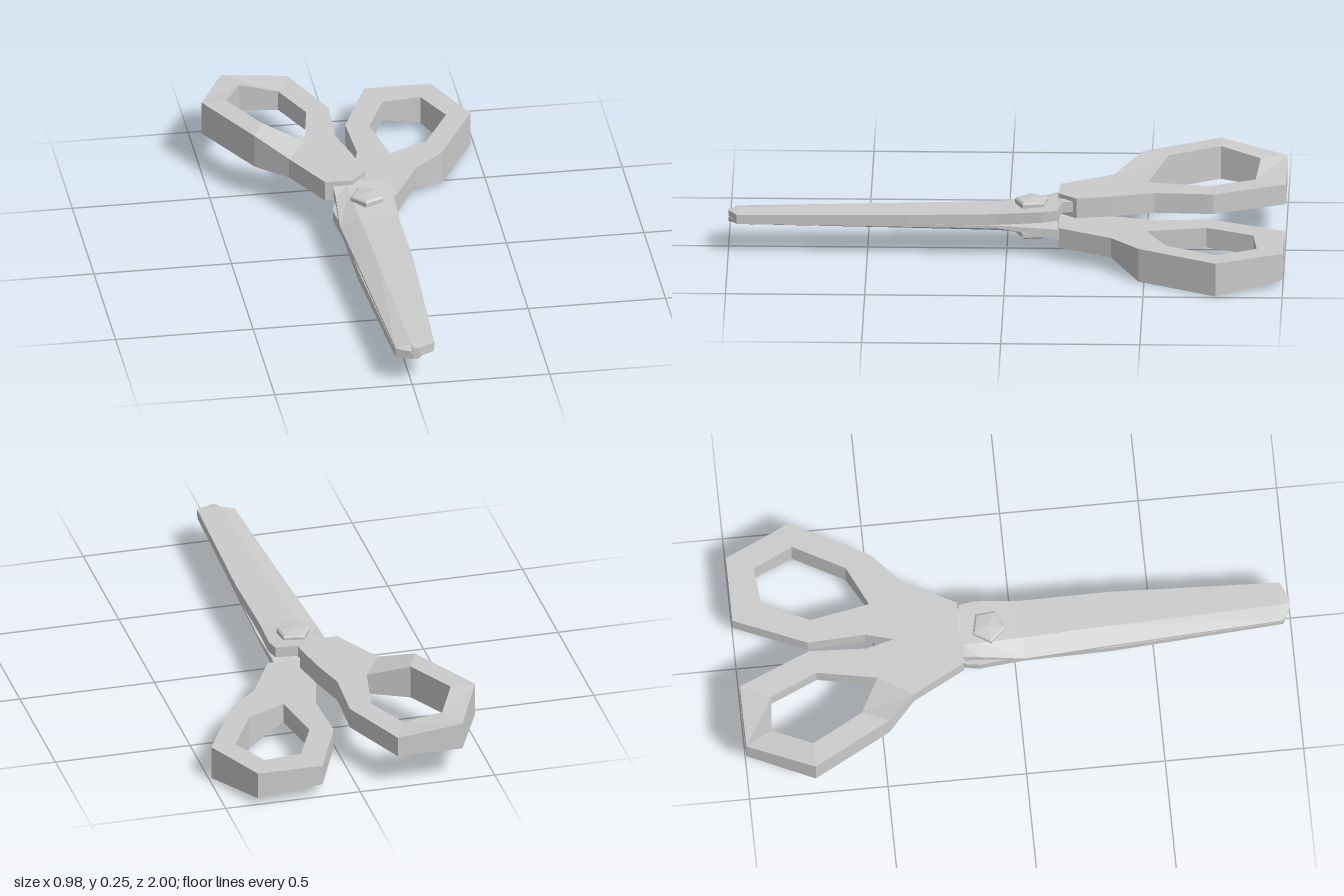
import * as THREE from 'three';

const MID = 0.125; // plane where the two halves meet
const material = new THREE.MeshStandardMaterial({ color: 0xcccccc, flatShading: true, side: THREE.DoubleSide });

// Collects flat polygons (counter-clockwise corners) into one geometry
class Faces {
  constructor() { this.data = []; }
  add(...p) {
    for (let i = 1; i < p.length - 1; i++) this.data.push(...p[0], ...p[i], ...p[i + 1]);
  }
  mesh(name) {
    const g = new THREE.BufferGeometry();
    g.setAttribute('position', new THREE.Float32BufferAttribute(this.data, 3));
    g.computeVertexNormals();
    const m = new THREE.Mesh(g, material);
    m.name = name;
    return m;
  }
}

// Finger loop with a neck; corners are [x, top y, z]
function makeHandle() {
  const outer = [
    [-0.34, 0.25, -0.48], [-0.49, 0.25, -0.76], [-0.38, 0.225, -1],
    [-0.14, 0.2, -1], [-0.03, 0.2, -0.74], [-0.04, 0.2, -0.53],
  ];
  const inner = [
    [-0.3, 0.25, -0.575], [-0.4, 0.25, -0.76], [-0.33, 0.23, -0.905],
    [-0.19, 0.2, -0.89], [-0.115, 0.2, -0.72], [-0.155, 0.2, -0.505],
  ];
  const neck = [
    [0, 0.2, -0.38], [0.025, 0.2, -0.25], [-0.03, 0.2, -0.185],
    [-0.13, 0.2, -0.19], [-0.23, 0.2, -0.38],
  ];
  const f = new Faces();
  const low = ([x, , z]) => [x, MID, z];
  // a top polygon and its copy on the flat underside
  const slab = (...p) => {
    f.add(...p);
    f.add(...p.map(low).reverse());
  };
  const wall = (a, b) => f.add(low(b), low(a), a, b);

  for (let i = 0; i < 5; i++) slab(outer[i], inner[i], inner[i + 1], outer[i + 1]);
  slab(neck[4], inner[5], inner[0], outer[0]); // ramp down to the neck
  slab(inner[5], ...[outer[5], ...neck].reverse());

  const rim = [...outer, ...neck];
  rim.forEach((p, i) => wall(p, rim[(i + 1) % rim.length]));
  inner.forEach((p, i) => wall(inner[(i + 1) % inner.length], p));
  return f.mesh('handle');
}

// Blade lofted from five-sided sections; skew swings the tip sideways
function makeBlade(skew) {
  // z, cutting edge x, ridge x, spine x, bottom y, edge y, top y
  const rows = [
    [-0.24, -0.10, -0.05, 0.015, 0.145, 0.185, 0.185],
    [-0.20, -0.10, -0.05, 0.02, 0.145, 0.185, 0.185],
    [-0.185, -0.10, -0.05, 0.10, 0.143, 0.18, 0.182],
    [-0.13, -0.10, -0.05, 0.11, 0.138, 0.165, 0.178],
    [0.03, -0.11, -0.04, 0.10, MID, 0.135, 0.166],
    [0.35, -0.09, -0.025, 0.105, MID, 0.135, 0.162],
    [0.97, -0.055, 0, 0.085, MID, 0.135, 0.15],
    [1.0, -0.005, 0.008, 0.025, MID, 0.135, 0.147],
  ];
  const rings = rows.map(([z, e, r, s, yb, ye, yt]) =>
    [[e, yb], [s, yb], [s, yt], [r, yt], [e, ye]]
      .map(([x, y]) => [x + skew * Math.max(0, z), y, z]));
  const f = new Faces();
  for (let k = 0; k < rings.length - 1; k++) {
    const a = rings[k], b = rings[k + 1];
    for (let i = 0; i < 5; i++) {
      const j = (i + 1) % 5;
      f.add(a[i], a[j], b[j], b[i]);
    }
  }
  f.add(...rings[rings.length - 1]);
  f.add(...[...rings[0]].reverse());
  return f.mesh('blade');
}

// Five-sided pivot with a slightly domed head at each end
function makePivot() {
  const h = 0.075;
  const profile = [[0, -h], [0.055, -h + 0.006], [0.063, -h + 0.012], [0.063, -0.047], [0.035, -0.047],
    [0.035, 0.047], [0.063, 0.047], [0.063, h - 0.012], [0.055, h - 0.006], [0, h]];
  const g = new THREE.LatheGeometry(profile.map(([x, y]) => new THREE.Vector2(x, y)), 5);
  const m = new THREE.Mesh(g, material);
  m.name = 'pivot';
  m.rotation.y = -Math.PI / 2 + 0.1;
  m.position.set(0.008, MID, -0.09);
  return m;
}

export function createModel() {
  const model = new THREE.Group();
  model.name = 'scissors';

  const upper = new THREE.Group();
  upper.name = 'upperHalf';
  upper.add(makeHandle(), makeBlade(0));

  // the lower half is the upper one turned over about the long axis
  const lower = new THREE.Group();
  lower.name = 'lowerHalf';
  lower.add(makeHandle(), makeBlade(-0.03));
  lower.rotation.z = Math.PI;
  lower.position.y = 2 * MID;

  model.add(upper, lower, makePivot());
  return model;
}
